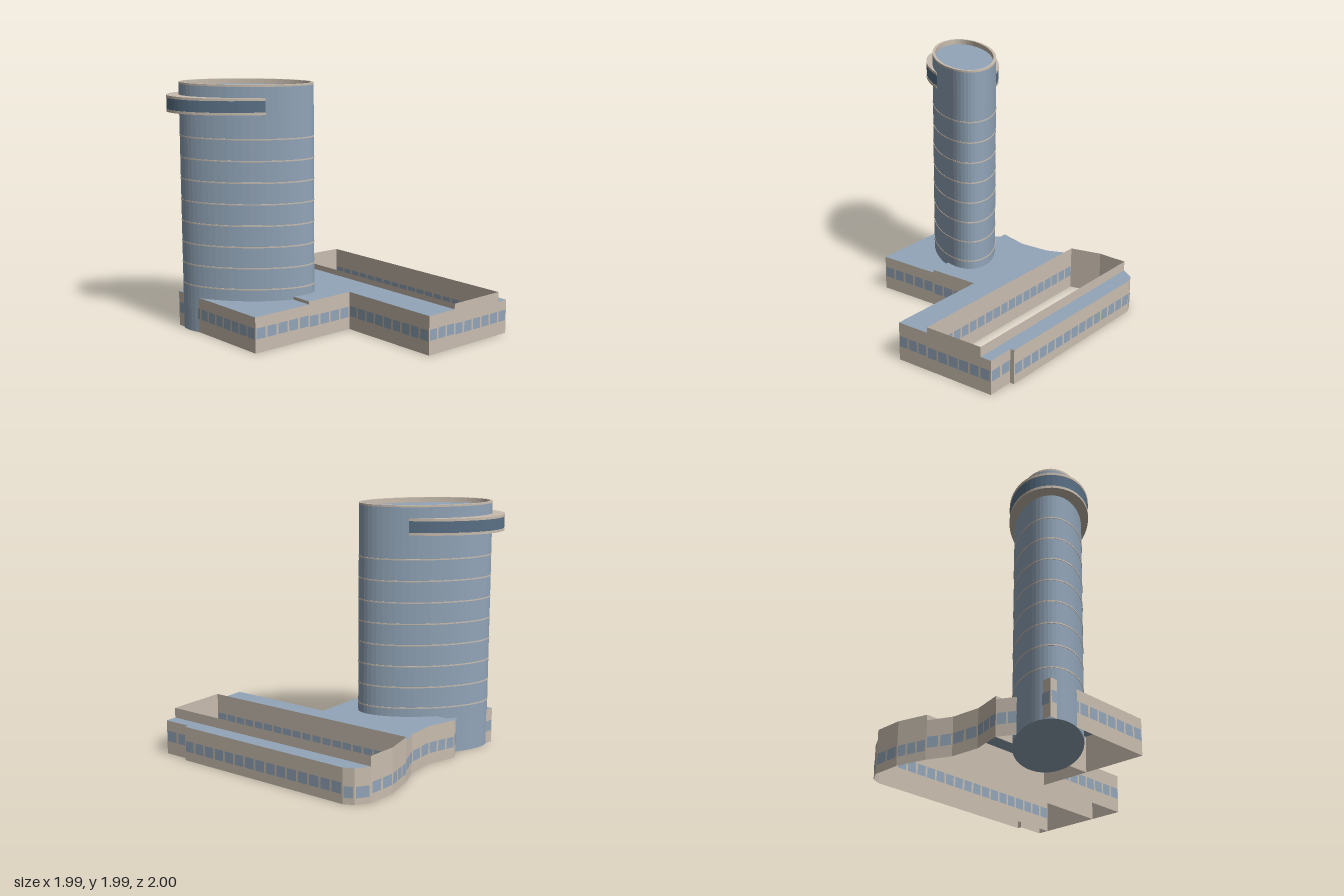
import * as THREE from 'three';

export function createModel() {
  const model = new THREE.Group();
  const mat = (name, color, side = THREE.FrontSide) => {
    const m = new THREE.MeshStandardMaterial({ color, side });
    m.name = name;
    return m;
  };
  const glass = mat('blue glass', 0x92a5b8, THREE.DoubleSide);
  const stone = mat('beige stone', 0xc9bdaf, THREE.DoubleSide);
  const darkGlass = mat('dark glass', 0x5a7186);

  const add = (parent, name, geometry, material) => {
    const mesh = new THREE.Mesh(geometry, material);
    mesh.name = name;
    parent.add(mesh);
    return mesh;
  };
  const group = (name) => {
    const g = new THREE.Group();
    g.name = name;
    model.add(g);
    return g;
  };

  // Plan outlines are [x, z] pairs, extruded upwards
  const toVec = (pts) => pts.map(([x, z]) => new THREE.Vector2(x, -z));
  const slab = (pts, y0, y1, hole) => {
    const shape = new THREE.Shape(toVec(pts));
    if (hole) shape.holes.push(new THREE.Path(toVec(hole)));
    return new THREE.ExtrudeGeometry(shape, { depth: y1 - y0, bevelEnabled: false })
      .rotateX(-Math.PI / 2).translate(0, y0, 0);
  };

  // Point on the diagonal tower ellipse; t = 0 is the back right end
  const A = 0.53, B = 0.255, CX = -0.49, CZ = -0.485, S = Math.SQRT1_2;
  const ovalPoint = (t, offset = 0) => {
    const c = Math.cos(t), s = Math.sin(t);
    const len = Math.hypot(c / A, s / B);
    const u = -(A * c + offset * c / A / len);
    const v = B * s + offset * s / B / len;
    return [CX + (u - v) * S, CZ + (u + v) * S];
  };
  const oval = (offset = 0, n = 56) =>
    Array.from({ length: n }, (_, i) => ovalPoint((i / n) * Math.PI * 2, offset));

  // Tower with recessed roof, rim and floor bands
  const tower = group('tower');
  add(tower, 'towerBody', slab(oval(), 0, 1.95), glass);
  add(tower, 'parapetGlass', slab(oval(), 1.95, 1.975, oval(-0.004)), glass);
  add(tower, 'parapetInside', slab(oval(-0.004), 1.95, 1.975, oval(-0.022)), stone);
  add(tower, 'towerRim', slab(oval(), 1.975, 1.99, oval(-0.022)), stone);
  for (let i = 0; i < 8; i++) {
    const y = 0.38 + i * 0.17;
    add(tower, 'floorBand', slab(oval(0.003), y - 0.005, y + 0.005, oval(-0.002)), stone);
  }

  // Crescent gallery wrapping one end of the tower
  const gallery = group('gallery');
  const crescent = (inset) => {
    const N = 40, end = THREE.MathUtils.degToRad(110);
    const outer = [], inner = [];
    for (let i = 0; i <= N; i++) {
      const k = (i / N) * 2 - 1;
      outer.push(ovalPoint(k * end, 0.005 + 0.095 * Math.cos(k * Math.PI / 2) - inset));
      inner.push(ovalPoint(k * end, -0.008));
    }
    return outer.concat(inner.reverse());
  };
  add(gallery, 'galleryFloor', slab(crescent(0), 1.76, 1.78), stone);
  add(gallery, 'galleryWindow', slab(crescent(0.003), 1.78, 1.87), darkGlass);
  add(gallery, 'galleryRoof', slab(crescent(0), 1.87, 1.89), stone);

  // Upright panel between two plan points, facing outwards
  const panel = (parent, name, [x0, z0], [x1, z1], y0, y1, material, out = 0) => {
    const len = Math.hypot(x1 - x0, z1 - z0);
    const nx = -(z1 - z0) / len, nz = (x1 - x0) / len;
    const mesh = add(parent, name, new THREE.PlaneGeometry(len, y1 - y0), material);
    mesh.position.set((x0 + x1) / 2 + nx * out, (y0 + y1) / 2, (z0 + z1) / 2 + nz * out);
    mesh.rotation.y = Math.atan2(nx, nz);
  };
  const windows = (parent, p, q, y) => {
    const n = Math.max(1, Math.round(Math.hypot(q[0] - p[0], q[1] - p[1]) / 0.102));
    const at = (k) => [p[0] + (q[0] - p[0]) * k, p[1] + (q[1] - p[1]) * k];
    for (let i = 0; i < n; i++) {
      panel(parent, 'window', at((i + 0.09) / n), at((i + 0.91) / n), y, y + 0.087, glass, 0.003);
    }
  };

  // Low building: walls, optional flat roof, windows at the given sill per wall (0 = none)
  const building = (name, pts, height, sills, roofed = true) => {
    const g = group(name);
    pts.forEach((p, i) => {
      const q = pts[(i + 1) % pts.length];
      panel(g, 'wall', p, q, 0, height, stone);
      if (sills[i]) windows(g, p, q, sills[i]);
    });
    if (roofed) {
      const roof = new THREE.ShapeGeometry(new THREE.Shape(toVec(pts)));
      add(g, 'roof', roof.rotateX(-Math.PI / 2).translate(0, height, 0), glass);
    }
    return g;
  };

  building('leftWing', [
    [-0.88, 0.1], [-0.35, 0.1], [-0.35, -0.875], [-0.5, -0.8], [-0.7, -0.88], [-0.885, -0.9],
  ], 0.285, [0.11, 0, 0.09, 0, 0.1, 0.11]);

  building('middleWing', [
    [0.07, 1], [0.345, 1], [0.345, -0.89], [0.15, -0.81],
    [-0.1, -0.8], [-0.35, -0.875], [-0.35, 0.1], [0.075, 0.1],
  ], 0.31, [0.115, 0.11, 0.09, 0.09, 0.09, 0, 0.102, 0.11]);

  building('sideWing', [
    [0.845, 1], [0.94, 1], [0.94, 0.77], [0.975, 0.77],
    [0.985, -0.78], [0.95, -0.86], [0.845, -0.93],
  ], 0.275, [0, 0.105, 0, 0.075, 0.05, 0.05, 0.11]);

  // Open courtyard enclosed by taller walls
  const court = building('courtyard', [
    [0.345, 1], [0.845, 1], [0.845, -0.93], [0.6, -0.945], [0.345, -0.89],
  ], 0.355, [0, 0, 0.07, 0.07, 0], false);
  windows(court, [0.345, 1], [0.94, 1], 0.108);

  return model;
}
